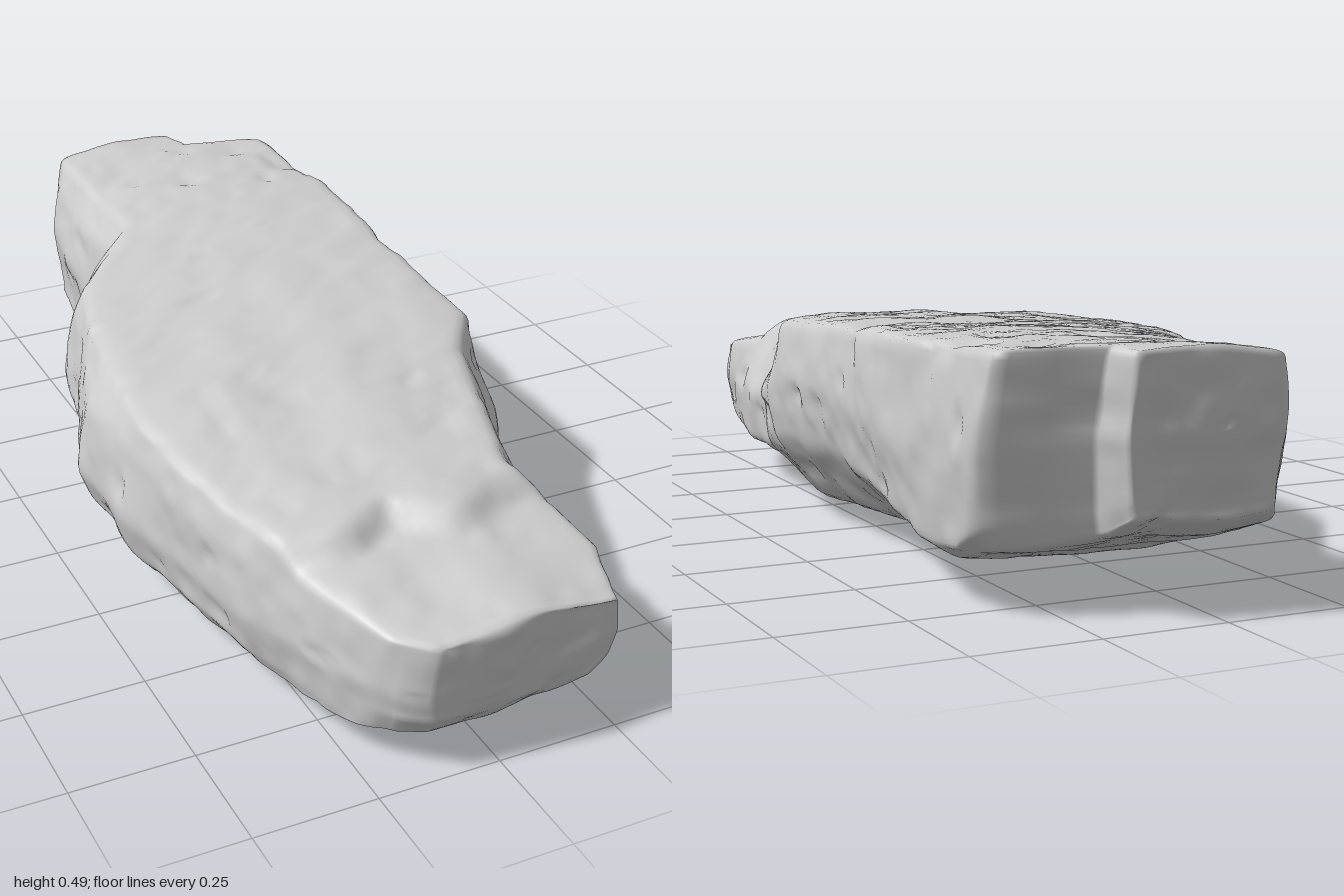
import * as THREE from 'three';

const { lerp, smoothstep } = THREE.MathUtils;

// Piecewise-linear track: value along z from [z, value] pairs
const track = (...keys) => (z) => {
  if (z <= keys[0][0]) return keys[0][1];
  for (let i = 1; i < keys.length; i++) {
    const [z0, v0] = keys[i - 1], [z1, v1] = keys[i];
    if (z <= z1) return v0 + (v1 - v0) * (z - z0) / (z1 - z0);
  }
  return keys[keys.length - 1][1];
};

// Plan outline: widest left and right limits
const leftX = track([-1, -0.13], [-0.96, -0.165], [-0.6, -0.18], [-0.52, -0.26], [-0.4, -0.335], [-0.2, -0.375],
  [-0.02, -0.44], [0.2, -0.425], [0.4, -0.38], [0.6, -0.335], [0.78, -0.28], [0.93, -0.225], [0.98, -0.19], [1, -0.15]);
const rightX = track([-1, 0.195], [-0.92, 0.215], [-0.89, 0.4], [-0.86, 0.42], [-0.6, 0.435], [-0.2, 0.42], [0, 0.425],
  [0.15, 0.435], [0.27, 0.41], [0.42, 0.34], [0.6, 0.325], [0.8, 0.295], [0.94, 0.28], [1, 0.25]);
// Edges of the upper face
const topLeftX = track([-1, -0.11], [-0.58, -0.1], [-0.49, -0.17], [-0.38, -0.28], [-0.2, -0.33], [0.2, -0.375],
  [0.4, -0.345], [0.6, -0.3], [0.78, -0.255], [0.94, -0.205], [1, -0.14]);
const topRightX = track([-1, 0.185], [-0.92, 0.205], [-0.89, 0.395], [-0.6, 0.425], [-0.2, 0.41], [0.12, 0.415],
  [0.24, 0.33], [0.4, 0.285], [0.62, 0.22], [0.69, 0.26], [0.85, 0.28], [1, 0.245]);
// Heights along the length
const topY = track([-1, 0.487], [-0.6, 0.48], [-0.2, 0.462], [0.1, 0.447], [0.35, 0.41], [0.6, 0.385],
  [0.65, 0.375], [0.7, 0.335], [0.85, 0.31], [1, 0.285]);
const leftDrop = track([-1, 0.02], [-0.55, 0.022], [-0.4, 0.045], [0.5, 0.04], [1, 0]);
const bottomY = track([-1, 0.17], [-0.95, 0.135], [-0.88, 0.1], [-0.72, 0.07], [-0.6, 0.05], [-0.3, 0.027], [0, 0.01],
  [0.2, 0], [0.5, 0.02], [0.8, 0.042], [0.93, 0.057], [1, 0.068]);
const rightLowY = track([-1, 0.22], [-0.92, 0.19], [-0.8, 0.12], [-0.6, 0.11], [-0.3, 0.17], [0, 0.2], [0.2, 0.17],
  [0.4, 0.12], [0.6, 0.095], [0.8, 0.11], [1, 0.16]);
const leftMidY = track([-1, 0.3], [-0.6, 0.2], [0, 0.165], [0.6, 0.15], [1, 0.15]);
// Undercut beneath the left flank
const leftCut = track([-0.8, 0], [-0.55, 0.6], [-0.25, 1], [0.1, 0.9], [0.4, 0]);

// Smooth seeded value noise
const hash = (x, y, z) => {
  let h = Math.imul(x, 374761393) ^ Math.imul(y, 668265263) ^ Math.imul(z, 1274126177);
  h = Math.imul(h ^ (h >>> 13), 1103515245);
  return ((h ^ (h >>> 16)) >>> 0) / 2147483648 - 1;
};
function noise(x, y, z) {
  const [i, j, k] = [x, y, z].map(Math.floor);
  const [u, v, w] = [x - i, y - j, z - k].map((t) => t * t * (3 - 2 * t));
  let sum = 0;
  for (let n = 0; n < 8; n++) {
    const a = n & 1, b = (n >> 1) & 1, c = n >> 2;
    sum += hash(i + a, j + b, k + c) * (a ? u : 1 - u) * (b ? v : 1 - v) * (c ? w : 1 - w);
  }
  return sum;
}

// Cross-section, anticlockwise seen from the front
const EDGE_STEPS = [30, 8, 10, 8, 8, 14, 14, 10, 10, 10];
function section(z) {
  const l = leftX(z), r = rightX(z), tl = topLeftX(z), tr = topRightX(z);
  const t = topY(z), b = bottomY(z), m = leftMidY(z), rl = rightLowY(z), cut = leftCut(z);
  const tY = t - leftDrop(z);
  const ends = smoothstep(Math.abs(z), 0.4, 0.8), back = smoothstep(-z, 0.4, 0.8);
  const corners = [
    [tr, t], [tl, tY], [lerp(tl, l, 0.6), tY - 0.07],
    [l, m + 0.02],
    [l + 0.012 + 0.02 * cut, Math.max(b + 0.05 - 0.025 * ends + 0.045 * cut, m - 0.07)],
    [l * (0.87 + 0.06 * ends - 0.07 * cut), b + 0.025 - 0.015 * ends + 0.03 * cut],
    [-0.02, b], [r * (0.7 + 0.18 * back), b + 0.035 - 0.02 * back], [r - 0.015, rl], [r, lerp(rl, t, 0.45)],
  ];
  let pts = [];
  corners.forEach((p, i) => {
    const q = corners[(i + 1) % corners.length];
    for (let s = 0; s < EDGE_STEPS[i]; s++) {
      const f = s / EDGE_STEPS[i], x = lerp(p[0], q[0], f);
      let y = lerp(p[1], q[1], f);
      // Crowned top with a wavering step near the front
      if (i === 0) {
        const bow = Math.sin(Math.PI * f);
        y += 0.012 * bow + topY(z - bow * (0.03 + 0.04 * Math.sin(x * 22))) - t;
      }
      pts.push([x, y]);
    }
  });
  // Wear the corners down slightly
  for (let pass = 0; pass < 2; pass++) {
    pts = pts.map((p, i) => {
      const a = pts[(i + pts.length - 1) % pts.length], c = pts[(i + 1) % pts.length];
      return [0, 1].map((n) => (a[n] + 2 * p[n] + c[n]) / 4);
    });
  }
  return pts;
}

function boulderGeometry() {
  // Rows: back cap rings, body sections, front cap rings
  const rows = [], CAP = 14, BODY = 150;
  for (let i = 0; i < CAP; i++) rows.push([-1, i / CAP]);
  for (let i = 0; i <= BODY; i++) rows.push([-1 + 2 * i / BODY, 1]);
  for (let i = CAP - 1; i >= 0; i--) rows.push([1, i / CAP]);

  const pos = [], index = [];
  const count = EDGE_STEPS.reduce((a, b) => a + b);
  rows.forEach(([z, scale], row) => {
    const cx = (leftX(z) + rightX(z)) / 2, cy = (topY(z) + bottomY(z)) / 2;
    // Lean of the back faces, chamfer of the lower front edge
    const lean = 0.18 * smoothstep(-z, 0.65, 0.87) - 0.07 * smoothstep(-z, 0.89, 1);
    const front = smoothstep(z, 0.85, 1);
    section(z).forEach(([px, py], j) => {
      const x = cx + (px - cx) * scale, y = cy + (py - cy) * scale;
      const chamfer = Math.max(0, 0.12 - y) * 0.7 + Math.max(0, 0.28 - y) * 0.06;
      pos.push(x, y, z * 0.995 + lean * (0.48 - y) - front * chamfer);
      if (row < rows.length - 1) {
        const k = (j + 1) % count, a = row * count, b = a + count;
        index.push(a + j, a + k, b + k, a + j, b + k, b + j);
      }
    });
  });
  const geo = new THREE.BufferGeometry();
  geo.setAttribute('position', new THREE.Float32BufferAttribute(pos, 3));
  geo.setIndex(index);
  geo.computeVertexNormals();

  // Weathering: dents on the sides, shallow ripples and scattered pits
  const p = geo.attributes.position, n = geo.attributes.normal;
  for (let i = 0; i < p.count; i++) {
    const x = p.getX(i), y = p.getY(i), z = p.getZ(i);
    const side = 1 - Math.abs(n.getY(i));
    const d = (0.003 + 0.006 * side) * noise(x * 5, y * 6, z * 5)
      + 0.005 * noise(x * 10 + 9, y * 11, z * 12) + 0.003 * noise(x * 24, y * 24, z * 26 + 5)
      - 0.02 * Math.max(0, noise(x * 17 + 3, y * 17, z * 17) - 0.5);
    p.setXYZ(i, x + n.getX(i) * d, y + n.getY(i) * d, z + n.getZ(i) * d);
  }
  geo.computeBoundingBox();
  geo.translate(0, -geo.boundingBox.min.y, 0);
  geo.computeVertexNormals();
  return geo;
}

export function createModel() {
  const group = new THREE.Group();
  group.name = 'rock';
  const boulder = new THREE.Mesh(boulderGeometry(), new THREE.MeshStandardMaterial({ color: 0xcccccc }));
  boulder.name = 'boulder';
  group.add(boulder);
  return group;
}
